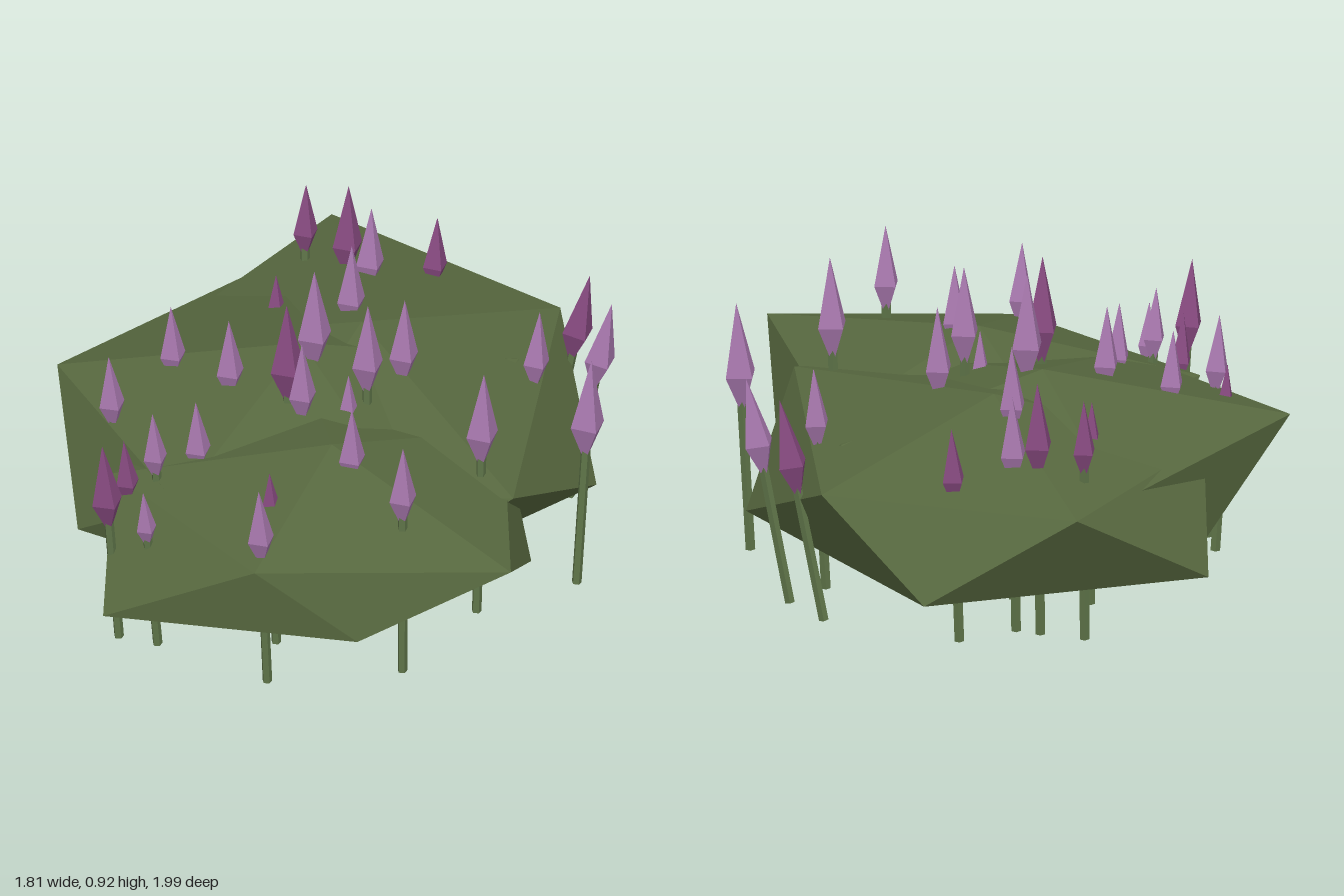
import * as THREE from 'three';
import { ConvexGeometry } from 'three/addons/geometries/ConvexGeometry.js';

const mat = (name, color) => {
  const m = new THREE.MeshStandardMaterial({ color, flatShading: true });
  m.name = name;
  return m;
};

// Faceted clumps: top, five upper corners, five lower corners, bottom
const CLUMPS = {
  backLeafClump: [
    [0.22, 0.62, -0.24],
    [0.5, 0.49, -0.97], [0.89, 0.46, -0.25], [0.28, 0.475, 0.62], [-0.38, 0.46, 0.2], [-0.25, 0.47, -0.65],
    [0.02, 0.21, -1.0], [0.85, 0.22, -0.68], [0.72, 0.21, 0.31], [-0.1, 0.22, 0.5], [-0.42, 0.22, -0.3],
    [0.25, 0.06, -0.25],
  ],
  middleLeafClump: [
    [0.0, 0.635, -0.2],
    [0.25, 0.46, -0.86], [-0.59, 0.48, -0.64], [-0.6, 0.45, 0.15], [0.0, 0.47, 0.5], [0.63, 0.49, -0.02],
    [-0.2, 0.2, -0.72], [-0.75, 0.2, -0.2], [-0.3, 0.2, 0.5], [0.68, 0.24, 0.22], [0.5, 0.2, -0.4],
    [-0.05, 0.1, -0.15],
  ],
  frontLeafClump: [
    [-0.15, 0.6, 0.28],
    [0.08, 0.49, 0.99], [-0.57, 0.45, 0.59], [-0.68, 0.43, -0.11], [0.05, 0.47, -0.3], [0.44, 0.45, 0.25],
    [-0.33, 0.25, 0.79], [-0.91, 0.215, 0.27], [-0.3, 0.22, -0.33], [0.35, 0.22, -0.1], [0.33, 0.25, 0.64],
    [-0.15, 0.09, 0.28],
  ],
};

// Flowers: tip x, tip y, tip z, head length, colour (0 light, 1 dark)
const FLOWERS = [
  [-0.83, 0.70, 0.11, 0.32, 1], [-0.74, 0.56, 0.20, 0.21, 0], [-0.69, 0.60, -0.02, 0.24, 1],
  [-0.61, 0.69, 0.01, 0.25, 0], [-0.59, 0.70, -0.31, 0.27, 0], [-0.53, 0.59, -0.42, 0.22, 1],
  [-0.46, 0.68, 0.00, 0.27, 0], [-0.53, 0.70, 0.54, 0.28, 0], [-0.40, 0.62, 0.36, 0.26, 1],
  [-0.33, 0.74, -0.41, 0.27, 0], [-0.24, 0.78, -0.21, 0.29, 0], [-0.14, 0.91, -0.03, 0.36, 1],
  [-0.12, 0.80, 0.03, 0.29, 0], [-0.13, 0.77, 0.37, 0.28, 0], [-0.12, 0.81, 0.68, 0.29, 0],
  [0.01, 0.92, -0.14, 0.36, 0], [0.08, 0.90, 0.07, 0.33, 0], [0.01, 0.68, 0.08, 0.24, 0],
  [0.09, 0.65, -0.54, 0.24, 1], [0.24, 0.83, 0.00, 0.31, 0], [0.25, 0.85, 0.49, 0.34, 0],
  [0.25, 0.81, -0.36, 0.30, 0], [0.31, 0.77, -0.77, 0.26, 1], [0.39, 0.81, -0.65, 0.32, 1],
  [0.43, 0.76, -0.58, 0.30, 0], [0.63, 0.69, -0.54, 0.26, 1], [0.65, 0.71, 0.08, 0.28, 0],
  [0.61, 0.79, 0.49, 0.36, 0], [0.86, 0.71, 0.14, 0.33, 0], [0.88, 0.70, -0.04, 0.33, 1],
];

// Four-sided bud, one unit long, with its tip at the origin
function budGeometry() {
  const g = new THREE.OctahedronGeometry(1, 0);
  const p = g.attributes.position;
  for (let i = 0; i < p.count; i++) {
    const y = p.getY(i);
    p.setXYZ(i, p.getX(i) * 0.155, (y > 0 ? y * 0.63 : y * 0.37) - 0.63, p.getZ(i) * 0.155);
  }
  g.computeVertexNormals();
  return g;
}

export function createModel() {
  const model = new THREE.Group();
  model.name = 'floweringBush';
  const leaf = mat('leafGreen', 0x57683f);
  const stemGreen = mat('stemGreen', 0x5f7549);
  const petals = [mat('lightPurple', 0xa878ae), mat('darkPurple', 0x874a80)];

  // Foliage
  for (const [name, pts] of Object.entries(CLUMPS)) {
    const mesh = new THREE.Mesh(new ConvexGeometry(pts.map((p) => new THREE.Vector3(...p))), leaf);
    mesh.name = name;
    model.add(mesh);
  }

  // Flowers: each stem leans slightly outwards from the ground to its bud
  const bud = budGeometry();
  const up = new THREE.Vector3(0, 1, 0);
  for (const [x, y, z, len, tone] of FLOWERS) {
    const tip = new THREE.Vector3(x, y, z);
    const base = new THREE.Vector3(x * (Math.abs(x) > 0.84 ? 0.89 : 0.93), 0.006, x > 0.84 ? z - 0.09 : z * 0.97);
    const dir = tip.clone().sub(base);
    const stemLen = dir.length() - len * 0.8;
    dir.normalize();

    const flower = new THREE.Group();
    flower.name = 'flower';
    flower.position.copy(base);
    flower.quaternion.setFromUnitVectors(up, dir);

    const stem = new THREE.Mesh(new THREE.CylinderGeometry(0.015, 0.015, stemLen, 5), stemGreen);
    stem.name = 'stem';
    stem.position.y = stemLen / 2;

    const head = new THREE.Mesh(bud, petals[tone]);
    head.name = 'bud';
    head.scale.setScalar(len);
    head.position.y = tip.distanceTo(base);

    flower.add(stem, head);
    model.add(flower);
  }
  return model;
}
